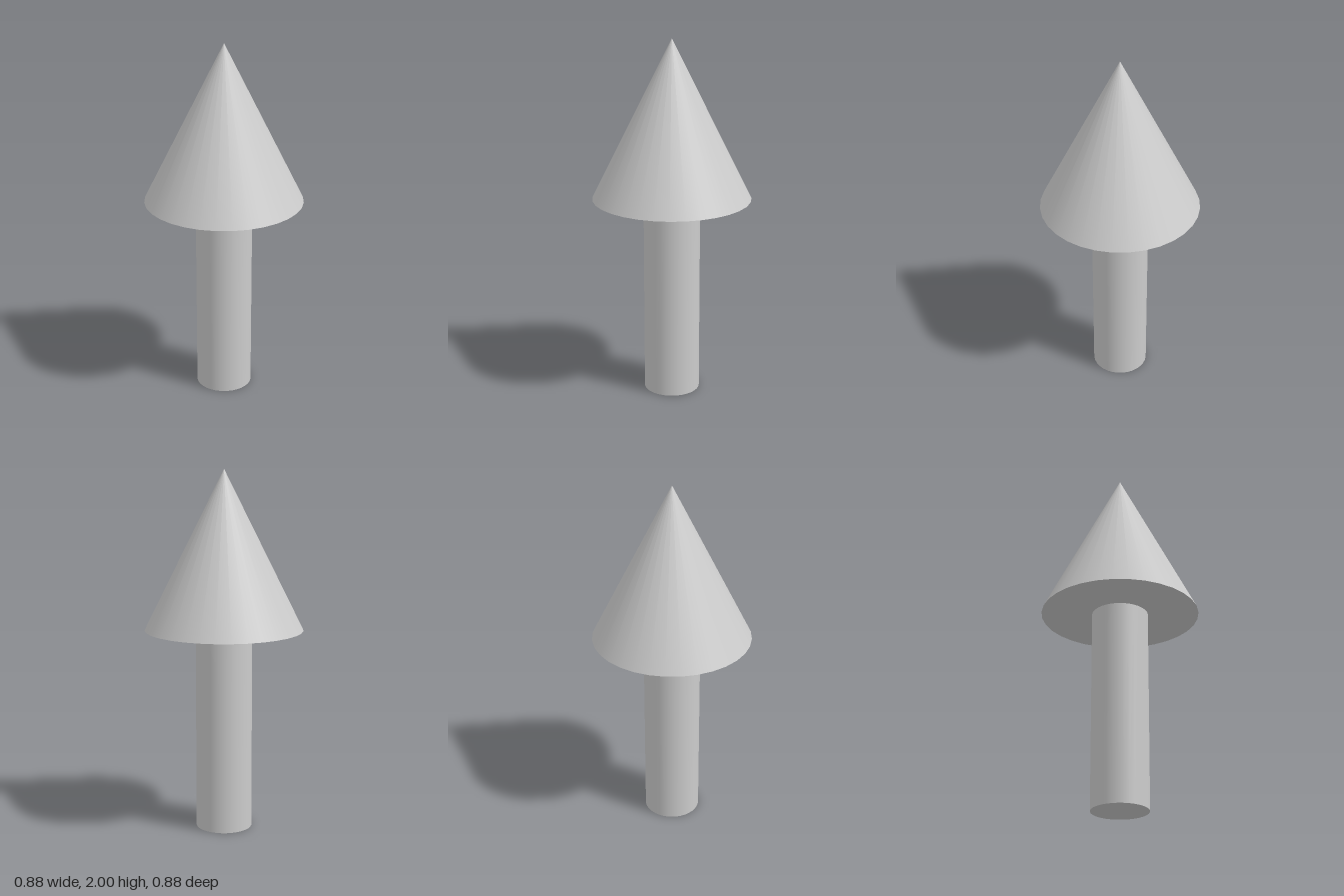
import * as THREE from 'three';

const SIDES = 32;
const SHAFT_HEIGHT = 1.125;
const HEAD_HEIGHT = 0.875;

export function createModel() {
  const group = new THREE.Group();
  group.name = 'upArrow';
  const material = new THREE.MeshStandardMaterial({ color: 0xcccccc });

  // Round shaft standing on the ground
  const shaft = new THREE.Mesh(
    new THREE.CylinderGeometry(0.156, 0.156, SHAFT_HEIGHT, SIDES),
    material
  );
  shaft.name = 'shaft';
  shaft.position.y = SHAFT_HEIGHT / 2;

  // Conical head resting on the shaft
  const head = new THREE.Mesh(
    new THREE.ConeGeometry(0.4375, HEAD_HEIGHT, SIDES),
    material
  );
  head.name = 'head';
  head.position.y = SHAFT_HEIGHT + HEAD_HEIGHT / 2;

  group.add(shaft, head);
  return group;
}
